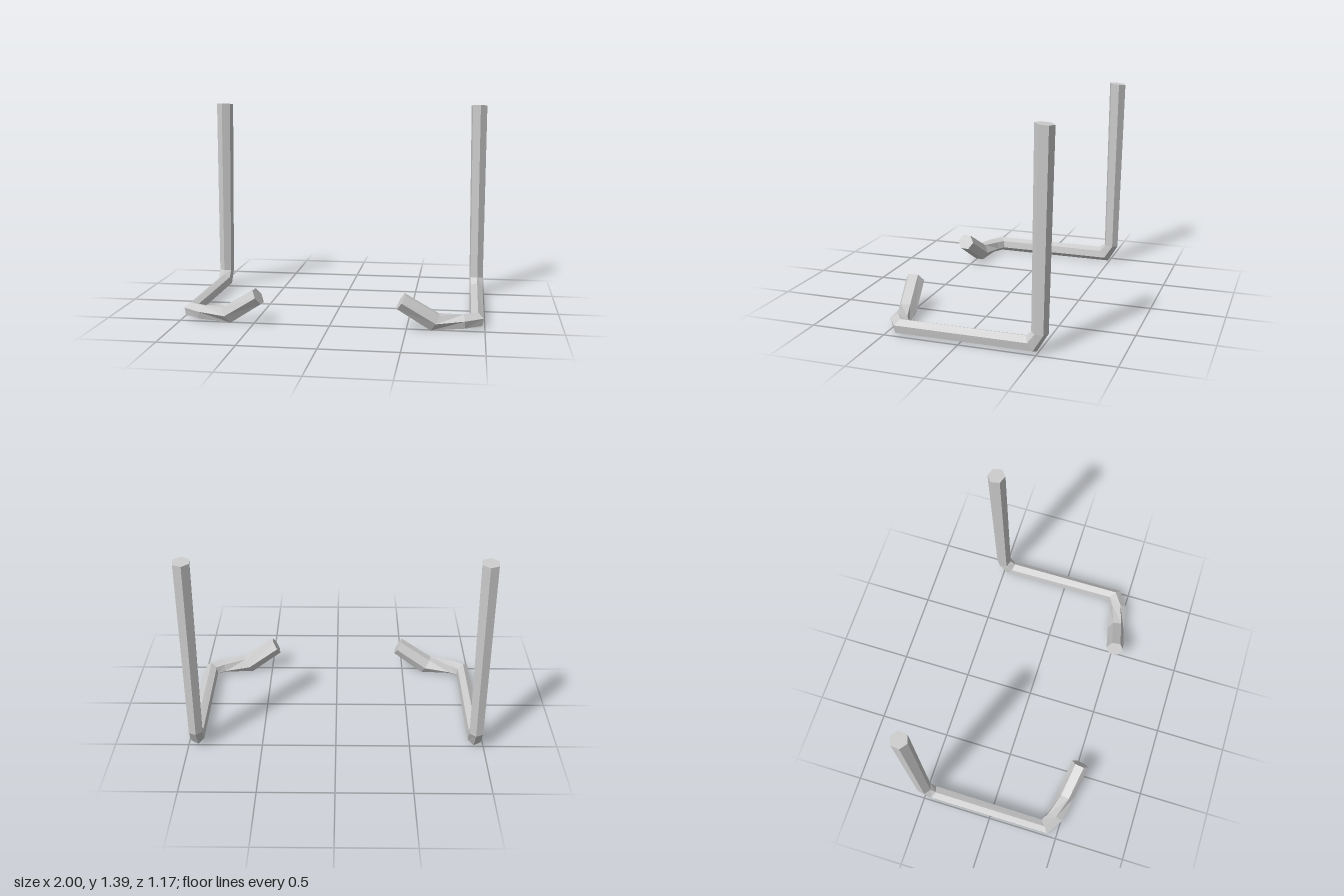
import * as THREE from 'three';

const SIDES = 6;

// Hexagonal sections along one bar, from the top of the post to the front tip:
// centre c, the two half-axes u and v of the section, and its roll in degrees.
const SECTIONS = [
  { c: [0.942, 1.392, -0.526], u: [0, 0.006, 0.061], v: [0.06, 0, 0], roll: 9 },
  { c: [0.945, 0.133, -0.508], u: [0, 0.005, 0.053], v: [0.052, 0, 0], roll: 9 },
  { c: [0.945, 0.055, -0.454], u: [0, 0.051, 0.034], v: [0.051, 0, 0], roll: 9 },
  { c: [0.948, 0.055, 0.397], u: [0, 0.051, 0], v: [0.047, 0, 0.038], roll: 9 },
  { c: [0.863, 0.055, 0.45], u: [0, 0.051, 0], v: [0.012, 0, 0.064], roll: 12 },
  { c: [0.68, 0.055, 0.482], u: [0.033, 0.058, 0], v: [0.01, 0, 0.061], roll: 30 },
  { c: [0.465, 0.193, 0.522], u: [0.03, 0.053, 0], v: [0.008, 0, 0.063], roll: 30 },
];

// Corner points of one section
function ring({ c, u, v, roll }) {
  return Array.from({ length: SIDES }, (_, k) => {
    const a = THREE.MathUtils.degToRad(roll + (k * 360) / SIDES);
    return c.map((p, i) => p + u[i] * Math.cos(a) + v[i] * Math.sin(a));
  });
}

// Bent bar skinned over the sections; side = -1 mirrors it across x
function barGeometry(side) {
  const rings = SECTIONS.map(ring);
  const last = rings.length - 1;
  const positions = [];
  const tri = (a, b, c) => {
    const order = side > 0 ? [a, b, c] : [a, c, b];
    for (const p of order) positions.push(p[0] * side, p[1], p[2]);
  };
  for (let k = 0; k < SIDES; k++) {
    const n = (k + 1) % SIDES;
    // Side walls
    for (let i = 0; i < last; i++) {
      tri(rings[i][k], rings[i + 1][k], rings[i + 1][n]);
      tri(rings[i][k], rings[i + 1][n], rings[i][n]);
    }
    // End caps
    tri(SECTIONS[0].c, rings[0][k], rings[0][n]);
    tri(SECTIONS[last].c, rings[last][n], rings[last][k]);
  }
  const geometry = new THREE.BufferGeometry();
  geometry.setAttribute('position', new THREE.Float32BufferAttribute(positions, 3));
  geometry.computeVertexNormals();
  return geometry;
}

export function createModel() {
  const model = new THREE.Group();
  model.name = 'bentBars';
  const material = new THREE.MeshStandardMaterial({ color: 0xcccccc, flatShading: true });
  for (const [name, side] of [['leftBar', 1], ['rightBar', -1]]) {
    const bar = new THREE.Mesh(barGeometry(side), material);
    bar.name = name;
    model.add(bar);
  }
  return model;
}
